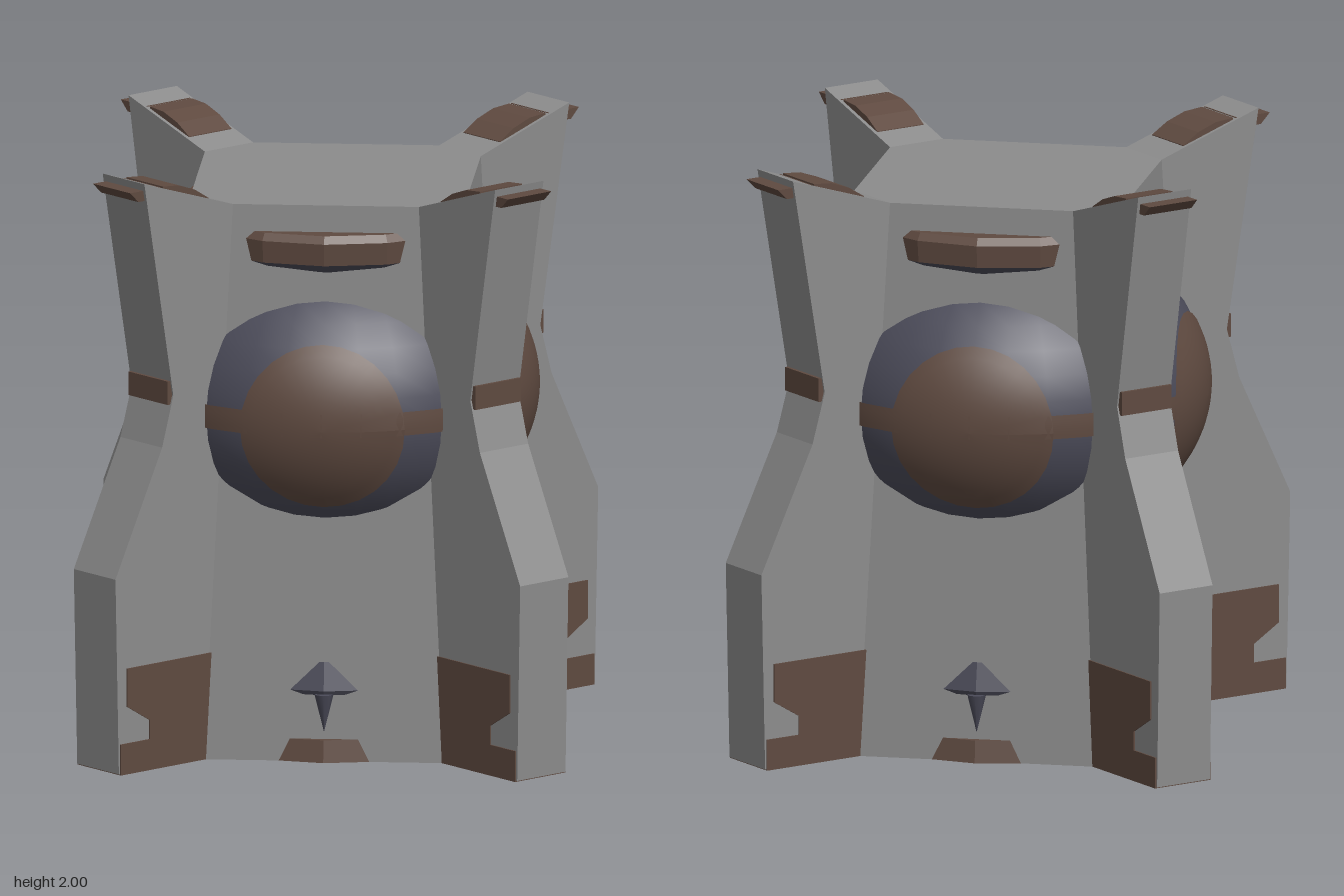
import * as THREE from 'three';

const grey = new THREE.MeshStandardMaterial({ name: 'stoneGrey', color: 0x8c8c8c, side: THREE.DoubleSide });
const brown = new THREE.MeshStandardMaterial({ name: 'rustBrown', color: 0x5f4a40 });
const blue = new THREE.MeshStandardMaterial({ name: 'slateBlue', color: 0x4b4b59 });

const vecs = (pts) => pts.map(([x, y]) => new THREE.Vector2(x, y));

function add(parent, name, geometry, material) {
  const mesh = new THREE.Mesh(geometry, material);
  mesh.name = name;
  parent.add(mesh);
  return mesh;
}

// Flat-shaded turned shape; points run from bottom to top
function turned(pts, sides, start = 0) {
  const g = new THREE.LatheGeometry(vecs(pts), sides, start).toNonIndexed();
  g.computeVertexNormals();
  return g;
}

// Radial profile (distance from axis, height) extruded to a centred width
function slab(pts, width) {
  const g = new THREE.ExtrudeGeometry(new THREE.Shape(vecs(pts)), { depth: width, bevelEnabled: false });
  return g.translate(0, 0, -width / 2);
}

// Flattened globe in the middle of the column
const GLOBE = { r: 0.672, h: 0.54, y: 1.17 };
const globeRadius = (y) => GLOBE.r * Math.sqrt(Math.max(0, 1 - ((y - GLOBE.y) / GLOBE.h) ** 2));

function globeBand(y0, y1, lift) {
  const pts = [];
  for (let i = 0; i <= 4; i++) {
    const y = y0 + (y1 - y0) * i / 4;
    pts.push([globeRadius(y) + lift, y]);
  }
  return new THREE.LatheGeometry(vecs(pts), 32);
}

// Round patch laid over the globe on the +z side
function globePatch(rx, ry, cy, lift) {
  const g = new THREE.RingGeometry(0.001, 1, 28, 8);
  const p = g.attributes.position;
  for (let i = 0; i < p.count; i++) {
    const x = p.getX(i) * rx, y = cy + p.getY(i) * ry;
    const r = globeRadius(y) + lift;
    p.setXYZ(i, x, y, Math.sqrt(r * r - x * x));
  }
  g.computeVertexNormals();
  return g;
}

export function createModel() {
  const model = new THREE.Group();
  model.name = 'finnedPillar';

  // Tapered square column, open below
  const q = Math.SQRT2;
  add(model, 'column', turned([[0.55 * q, 0], [0.46 * q, 1.875], [0, 1.875]], 4, Math.PI / 4), grey);

  // Base disc showing through the four faces
  add(model, 'baseDisc', turned([[0, 0], [0.58, 0], [0.569, 0.075], [0, 0.075]], 16), brown);

  // Low blue ring
  add(model, 'lowerRing', turned([[0, 0.225], [0.553, 0.225], [0.561, 0.24], [0.537, 0.335], [0, 0.335]], 16), blue);

  // Globe and its painted belt
  const globe = new THREE.SphereGeometry(1, 32, 20).scale(GLOBE.r, GLOBE.h, GLOBE.r).translate(0, GLOBE.y, 0);
  add(model, 'globe', globe, blue);
  add(model, 'globeBelt', globeBand(1.13, 1.21, 0.006), brown);

  // Upper collar with a blue underside
  add(model, 'collar', turned([[0.538, 1.685], [0.545, 1.76], [0.528, 1.785], [0, 1.785]], 16), brown);
  add(model, 'collarUnderside', turned([[0, 1.65], [0.475, 1.65], [0.538, 1.685]], 16), blue);

  // Details repeated on each face
  for (let i = 0; i < 4; i++) {
    const face = new THREE.Group();
    face.name = 'face';
    face.rotation.y = i * Math.PI / 2;
    add(face, 'globePatch', globePatch(0.275, 0.28, 1.15, 0.006), brown);
    const spike = new THREE.ConeGeometry(0.032, 0.13, 8).rotateX(Math.PI).translate(0, 0.163, 0.545);
    add(face, 'spike', spike, blue);
    model.add(face);
  }

  // Corner fins
  const finProfile = [[0.4, 0.004], [1.045, 0.004], [1.06, 0.67], [0.855, 1.09], [0.806, 1.26],
    [0.933, 2], [0.545, 1.875], [0.4, 1.8]];
  const plateProfile = [[0.5, 0], [1.04, 0], [1.04, 0.105], [0.912, 0.105], [0.912, 0.17],
    [1.011, 0.23], [1.011, 0.36], [0.5, 0.36]];
  const padProfile = [[0.64, 1.88], [0.84, 1.94], [0.84, 1.976], [0.77, 1.97], [0.7, 1.945], [0.64, 1.908]];
  const tabProfile = [[0.85, 1.94], [0.95, 1.94], [0.985, 1.975], [0.85, 1.975]];
  const claspProfile = [[0.75, 1.23], [0.826, 1.23], [0.826, 1.31], [0.75, 1.31]];
  for (let i = 0; i < 4; i++) {
    const fin = new THREE.Group();
    fin.name = 'cornerFin';
    fin.rotation.y = Math.PI / 4 + i * Math.PI / 2;
    add(fin, 'finBlade', slab(finProfile, 0.212), grey);
    add(fin, 'footPlate', slab(plateProfile, 0.222), brown);
    add(fin, 'topPad', slab(padProfile, 0.186), brown);
    add(fin, 'topTab', slab(tabProfile, 0.19), brown);
    add(fin, 'waistClasp', slab(claspProfile, 0.2), brown);
    model.add(fin);
  }
  return model;
}
